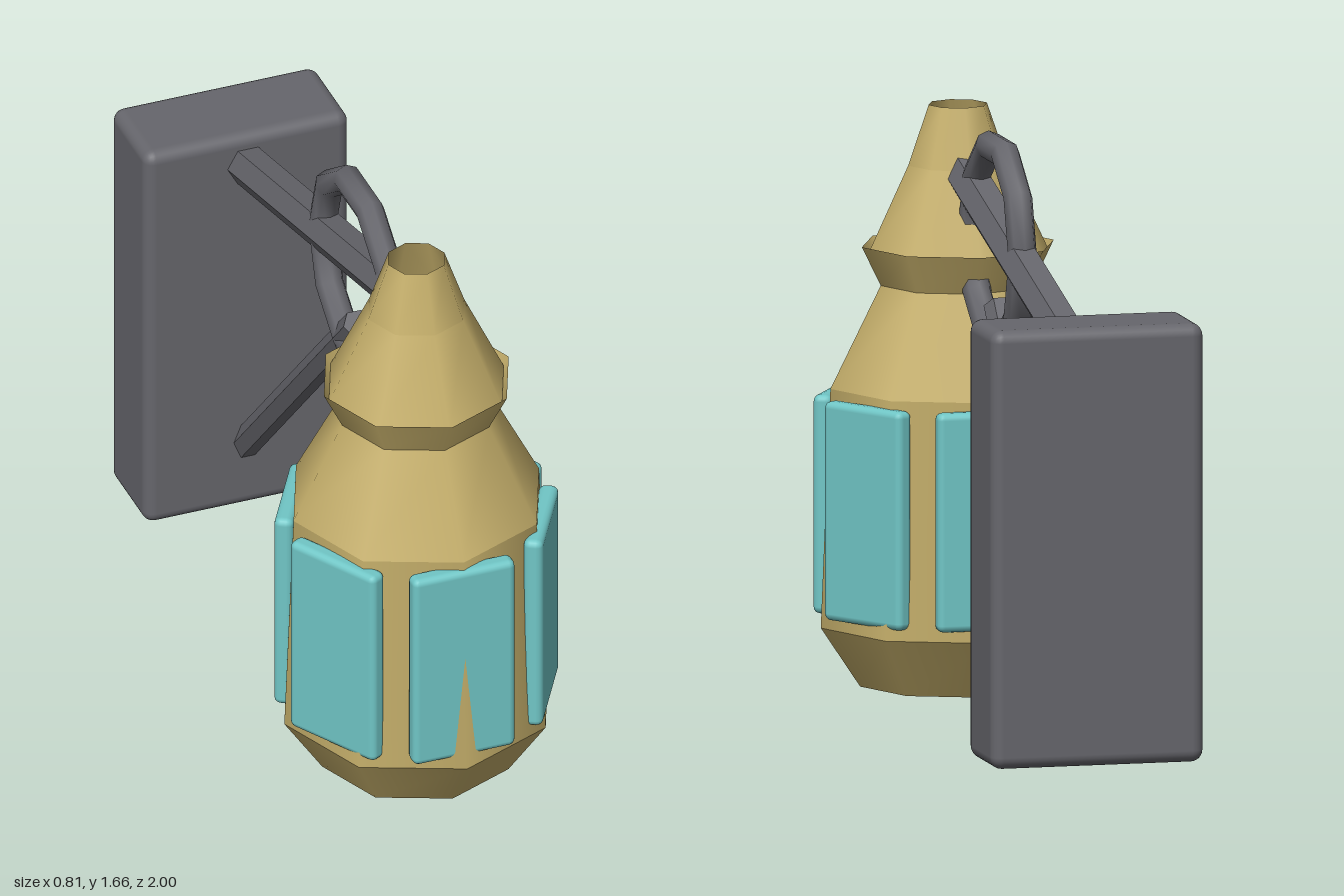
import * as THREE from 'three';
import { toCreasedNormals } from 'three/addons/utils/BufferGeometryUtils.js';
import { RoundedBoxGeometry } from 'three/addons/geometries/RoundedBoxGeometry.js';

export function createModel() {
  const brass = new THREE.MeshStandardMaterial({ color: 0xc4ae6a, side: THREE.DoubleSide });
  brass.name = 'brass';
  const glass = new THREE.MeshStandardMaterial({ color: 0x70c6c6 });
  glass.name = 'tealGlass';
  const iron = new THREE.MeshStandardMaterial({ color: 0x66666c });
  iron.name = 'darkIron';

  const model = new THREE.Group();
  model.name = 'wallLantern';
  const add = (parent, name, geometry, material) => {
    const mesh = new THREE.Mesh(geometry, material);
    mesh.name = name;
    parent.add(mesh);
    return mesh;
  };

  const lantern = new THREE.Group();
  lantern.name = 'lantern';
  lantern.position.z = 0.6;
  model.add(lantern);

  // Open eight-sided shells: [name, bottom radius, bottom y, top radius, top y]
  const shells = [
    ['base', 0.285, 0, 0.4, 0.172],
    ['body', 0.4, 0.172, 0.372, 0.855],
    ['shoulder', 0.372, 0.855, 0.225, 1.145],
    ['collar', 0.225, 1.145, 0.28, 1.257],
    ['lowerCap', 0.265, 1.23, 0.145, 1.485],
    ['upperCap', 0.145, 1.485, 0.085, 1.657],
  ];
  for (const [name, r0, y0, r1, y1] of shells) {
    const shell = add(lantern, name, new THREE.CylinderGeometry(r1, r0, y1 - y0, 8, 1, true), brass);
    shell.position.y = (y0 + y1) / 2;
  }

  // Six glass panes around the body
  for (let i = 0; i < 6; i++) {
    const a = (i * Math.PI) / 3;
    const pane = add(lantern, 'pane', new RoundedBoxGeometry(0.31, 0.627, 0.056, 2, 0.02), glass);
    pane.position.set(Math.sin(a) * 0.357, 0.517, Math.cos(a) * 0.357);
    pane.rotation.y = a;
  }

  // Wall plate
  const plate = add(model, 'wallPlate', new RoundedBoxGeometry(0.62, 1.255, 0.28, 3, 0.035), iron);
  plate.position.set(0, 0.6275, -0.86);

  // Six-sided bars in the middle plane, from [y, z] to [y, z]
  const bar = (name, [y0, z0], [y1, z1], radius) => {
    const length = Math.hypot(y1 - y0, z1 - z0);
    const geometry = new THREE.CylinderGeometry(radius, radius, length, 6);
    geometry.rotateY(Math.PI / 2);
    const mesh = add(model, name, toCreasedNormals(geometry, 0.5), iron);
    mesh.position.set(0, (y0 + y1) / 2, (z0 + z1) / 2);
    mesh.rotation.x = Math.atan2(z1 - z0, y1 - y0);
  };
  bar('upperArm', [1.12, -0.85], [1.495, 0.595], 0.062);
  bar('lowerBrace', [0.081, -0.85], [1.15, 0.14], 0.043);

  // Ten-sided ornamental ring
  const ring = add(model, 'ring', new THREE.TorusGeometry(0.287, 0.042, 8, 10), iron);
  ring.position.set(0, 1.32, 0.15);
  ring.rotation.y = Math.PI / 2;

  return model;
}
